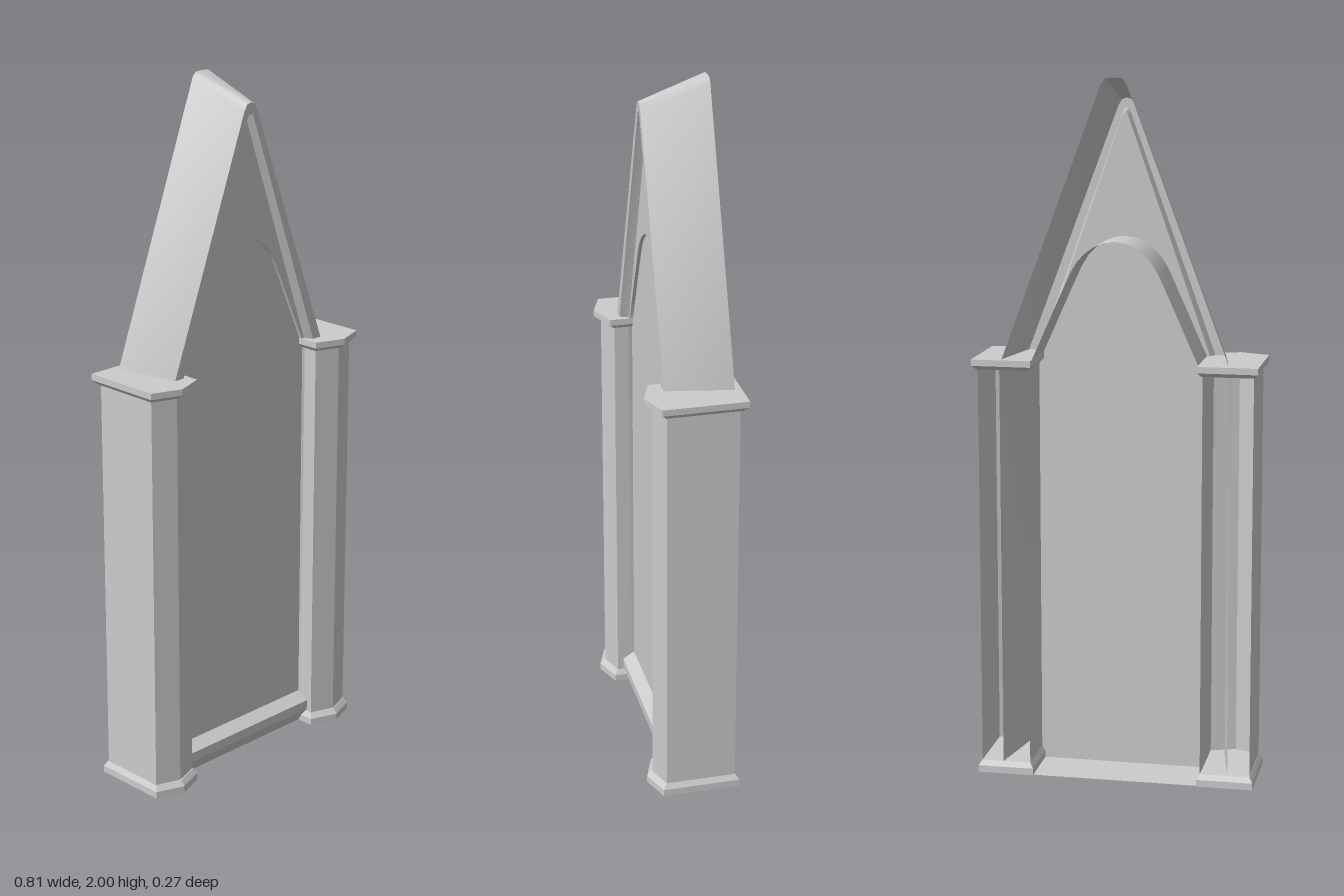
import * as THREE from 'three';
import { toCreasedNormals } from 'three/addons/utils/BufferGeometryUtils.js';

const material = new THREE.MeshStandardMaterial({ color: 0xcccccc, side: THREE.DoubleSide });

function mesh(name, geometry) {
  const m = new THREE.Mesh(geometry, material);
  m.name = name;
  return m;
}

// Surface through rows of [x, y, z] points, all rows the same length
function loft(rows, crease = 0.6) {
  const positions = [], index = [], n = rows[0].length;
  rows.forEach(row => row.forEach(p => positions.push(...p)));
  for (let r = 0; r < rows.length - 1; r++) {
    for (let i = 0; i < n - 1; i++) {
      const a = r * n + i, b = a + n;
      index.push(a, a + 1, b, b, a + 1, b + 1);
    }
  }
  const g = new THREE.BufferGeometry();
  g.setAttribute('position', new THREE.Float32BufferAttribute(positions, 3));
  g.setIndex(index);
  return toCreasedNormals(g, crease);
}

// Right half of an outline (ending on the axis) mirrored to the whole, at depth z
function mirrored(half, z) {
  const left = half.slice(0, -1).reverse().map(([x, y]) => [-x, y]);
  return [...half, ...left].map(([x, y]) => [x, y, z]);
}

// Pointed five-sided plan: half width, back z, shoulder z, tip z, at height y
function plan(cx, w, back, shoulder, tip, y) {
  return [[w, back], [w, shoulder], [0, tip], [-w, shoulder], [-w, back]]
    .map(([x, z]) => [cx + x, y, z]);
}

// Closed moulding from stacked plans, with flat ends
function moulding(cx, levels) {
  const rows = levels.map(([w, back, shoulder, tip, y]) => {
    const p = plan(cx, w, back, shoulder, tip, y);
    return [...p, p[0]];
  });
  const collapse = row => row.map(() => [cx, row[0][1], 0]);
  return loft([collapse(rows[0]), ...rows, collapse(rows[rows.length - 1])], 0.1);
}

function createPillar(side) {
  const pillar = new THREE.Group();
  pillar.name = side > 0 ? 'leftPillar' : 'rightPillar';
  const cx = 0.32 * side;
  // Shaft is a folded sheet, open at the back
  pillar.add(mesh('shaft', loft([
    plan(cx, 0.071, -0.115, 0.087, 0.112, 0.02),
    plan(cx, 0.071, -0.115, 0.087, 0.112, 1.2),
  ], 0.1)));
  pillar.add(mesh('base', moulding(cx, [
    [0.081, -0.126, 0.098, 0.128, 0],
    [0.081, -0.126, 0.098, 0.128, 0.02],
    [0.072, -0.117, 0.089, 0.115, 0.035],
  ])));
  pillar.add(mesh('capital', moulding(cx, [
    [0.074, -0.122, 0.09, 0.117, 1.188],
    [0.085, -0.137, 0.102, 0.133, 1.2],
    [0.085, -0.137, 0.102, 0.133, 1.218],
  ])));
  return pillar;
}

export function createModel() {
  const model = new THREE.Group();
  model.name = 'gothicNiche';

  for (const side of [1, -1]) model.add(createPillar(side));

  // Sloping gable sheet, running down inside the pillars
  const back = [[0.328, 0], [0.328, 1.2], [0.035, 1.986], [0.024, 1.998], [0, 2]];
  const front = [[0.293, 0], [0.293, 1.2], [0.024, 1.916], [0.014, 1.933], [0, 1.938]];
  model.add(mesh('gable', loft([mirrored(back, -0.118), mirrored(front, 0.07)])));

  // Front rim of the gable with its bevel back to the spandrel
  const outer = front.slice(1);
  const inner = [[0.262, 1.2], [0.012, 1.895], [0.006, 1.908], [0, 1.912]];
  const bevel = [[0.25, 1.2], [0.01, 1.883], [0.005, 1.894], [0, 1.9]];
  model.add(mesh('gableRim', loft([
    mirrored(outer, 0.07), mirrored(inner, 0.07), mirrored(bevel, 0.045),
  ], 0.3)));

  // Arch outline shared by the spandrel, the reveal and the back panel
  const arch = [[0.248, 1.19], [0.205, 1.285], [0.165, 1.375], [0.123, 1.467],
    [0.104, 1.498], [0.082, 1.521], [0.057, 1.539], [0.03, 1.55], [0, 1.554]];
  const archLine = mirrored(arch, 0);
  const toVector = ([x, y]) => new THREE.Vector2(x, y);

  const spandrel = new THREE.Shape([
    ...mirrored([[0.254, 1.19], [0.01, 1.885], [0, 1.902]], 0),
    ...archLine.slice().reverse(),
  ].map(toVector));
  model.add(mesh('spandrel', new THREE.ShapeGeometry(spandrel).translate(0, 0, 0.045)));

  const opening = [[0.248, 0.0], ...arch];
  model.add(mesh('archReveal', loft([mirrored(opening, -0.115), mirrored(opening, 0.045)])));

  const panel = new THREE.Shape(mirrored(opening, 0).map(toVector));
  model.add(mesh('panel', new THREE.ShapeGeometry(panel).translate(0, 0, 0.035)));

  // Sill and bottom plate between the pillars
  const sill = [[-0.12, 0], [0.045, 0], [0.07, 0.042], [0.07, 0.07], [0.036, 0.093]];
  model.add(mesh('sill', loft([-0.25, 0.25].map(x => sill.map(([z, y]) => [x, y, z])), 0.1)));

  return model;
}
